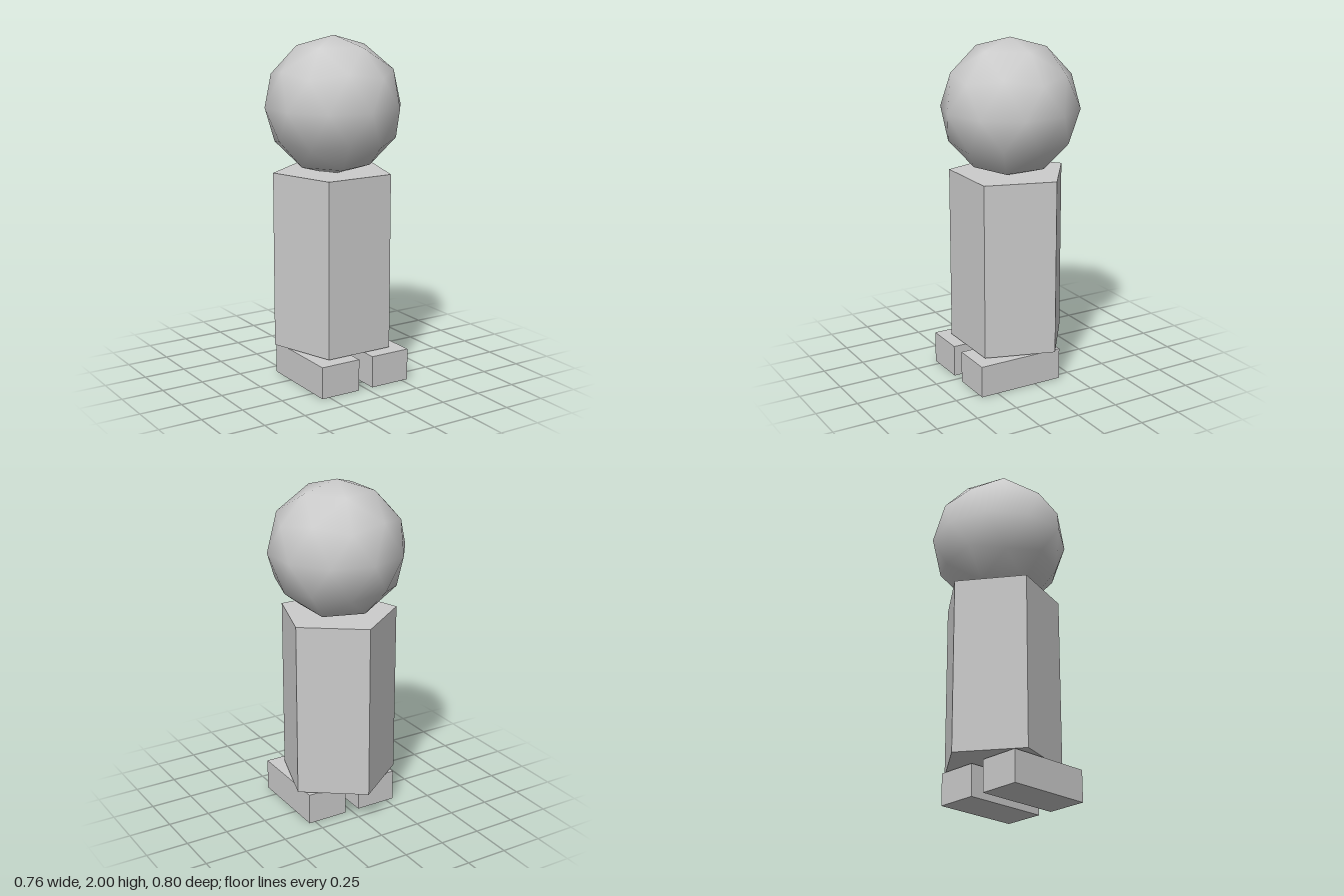
import * as THREE from 'three';

export function createModel() {
  const group = new THREE.Group();
  const smooth = new THREE.MeshStandardMaterial({ color: 0xcccccc });
  const flat = new THREE.MeshStandardMaterial({ color: 0xcccccc, flatShading: true });

  function add(name, geometry, material, x, y, z) {
    const mesh = new THREE.Mesh(geometry, material);
    mesh.name = name;
    mesh.position.set(x, y, z);
    group.add(mesh);
  }

  // Head: smooth-shaded low-poly icosphere, turned so one corner is at the top
  const headGeometry = new THREE.IcosahedronGeometry(0.4, 1);
  headGeometry.rotateZ(-Math.atan(2 / (1 + Math.sqrt(5))));
  add('head', headGeometry, smooth, 0, 1.6, 0);

  // Body: five-sided prism, flat face forward and an edge at the back
  const bodyGeometry = new THREE.CylinderGeometry(0.353, 0.353, 1.03, 5, 1, false, Math.PI);
  add('body', bodyGeometry, flat, -0.003, 0.71, 0);

  // Feet: two blocks set slightly forward
  const footGeometry = new THREE.BoxGeometry(0.247, 0.187, 0.52);
  add('rightFoot', footGeometry, flat, -0.173, 0.0935, 0.093);
  add('leftFoot', footGeometry, flat, 0.165, 0.0935, 0.093);

  return group;
}
